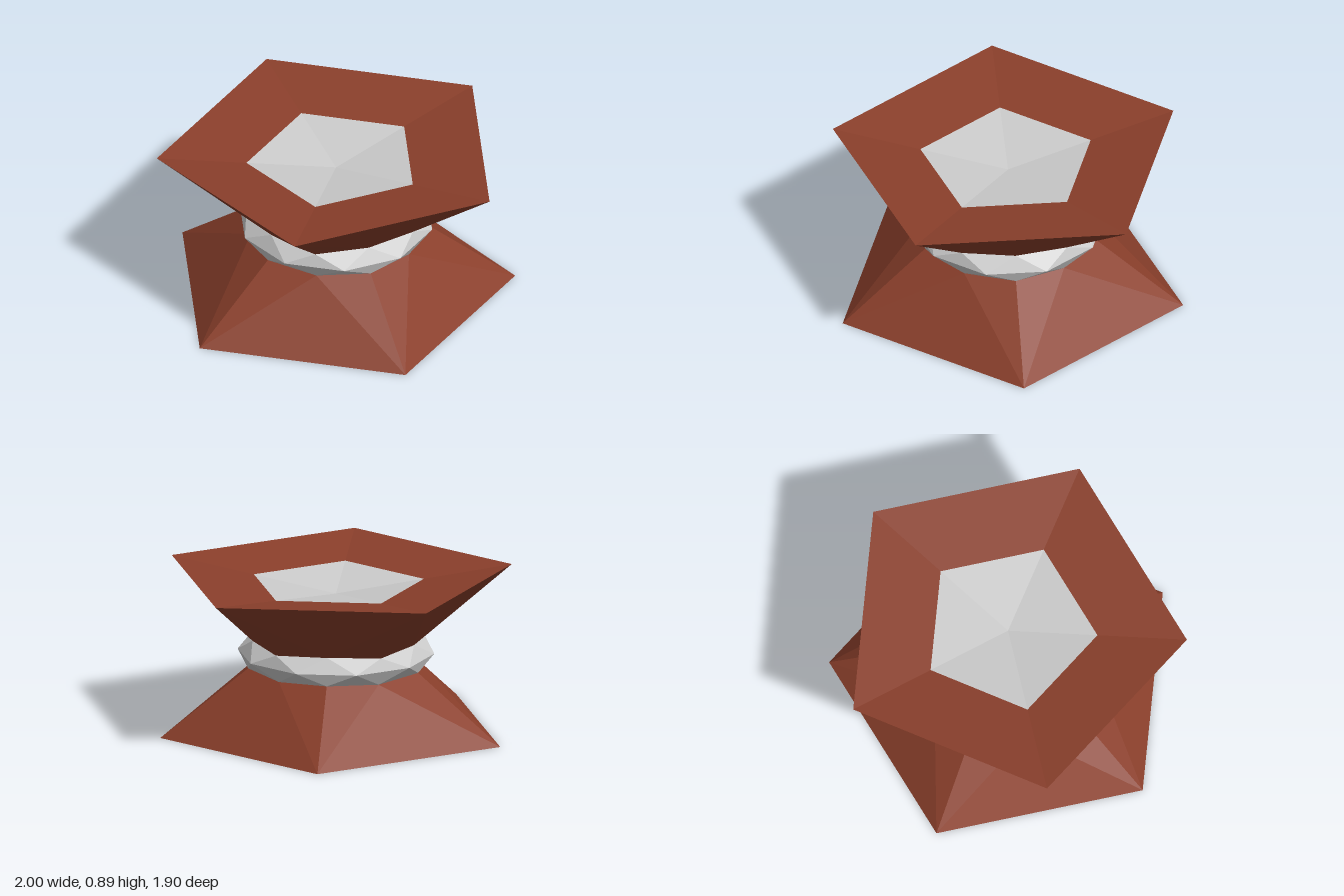
import * as THREE from 'three';

const HEIGHT = 0.89, MID = HEIGHT / 2;
const brown = new THREE.MeshStandardMaterial({ color: 0x8a3f2b, flatShading: true, side: THREE.DoubleSide });
const grey = new THREE.MeshStandardMaterial({ color: 0xcccccc, flatShading: true, side: THREE.DoubleSide });

// point at radius r, angle in degrees and height y
function polar(r, degrees, y) {
  const a = THREE.MathUtils.degToRad(degrees);
  return new THREE.Vector3(r * Math.cos(a), y, r * Math.sin(a));
}

// ten-sided neck ring, alternating below the corners and below the sides
const neck = k => (k % 2 === 0 ? polar(0.5, 36 * k, 0.517) : polar(0.475, 36 * k, 0.53));

function facets(name, points, material) {
  const geometry = new THREE.BufferGeometry().setFromPoints(points);
  geometry.computeVertexNormals();
  const mesh = new THREE.Mesh(geometry, material);
  mesh.name = name;
  return mesh;
}

// one flared half: five-sided flare, rim face, inlaid pentagon and half of the collar
function makeHalf(name, dish) {
  const flare = [], rim = [], inlay = [], collar = [];
  const centre = new THREE.Vector3(0, HEIGHT - 2 * dish, 0);
  for (let i = 0; i < 5; i++) {
    const a = 72 * i, k = 2 * i;
    const corner = polar(1, a, HEIGHT), next = polar(1, a + 72, HEIGHT);
    const inner = polar(0.5, a, HEIGHT - dish), innerNext = polar(0.5, a + 72, HEIGHT - dish);
    flare.push(corner, next, neck(k + 1));
    flare.push(corner, neck(k + 1), neck(k));
    flare.push(corner, neck(k), neck(k + 9));
    rim.push(corner, inner, innerNext, corner, innerNext, next);
    inlay.push(centre, innerNext, inner);
  }
  for (let k = 0; k < 10; k++) {
    const mid = polar(0.55, 36 * k + 18, MID), midNext = polar(0.55, 36 * k + 54, MID);
    collar.push(neck(k), neck(k + 1), mid, neck(k + 1), midNext, mid);
  }
  const half = new THREE.Group();
  half.name = name;
  half.add(
    facets('flare', flare, brown),
    facets('rimFace', rim, brown),
    facets('pentagonInlay', inlay, grey),
    facets('collar', collar, grey)
  );
  return half;
}

export function createModel() {
  const model = new THREE.Group();
  model.name = 'pentagonalPedestal';
  // shallow dished top
  const top = makeHalf('topHalf', 0.057);
  // flat base, the same half turned over
  const base = makeHalf('baseHalf', 0);
  base.rotation.z = Math.PI;
  base.position.y = HEIGHT;
  model.add(top, base);
  // pentagon corners reach x = -1 and x = +1, so the model is already centred
  return model;
}
